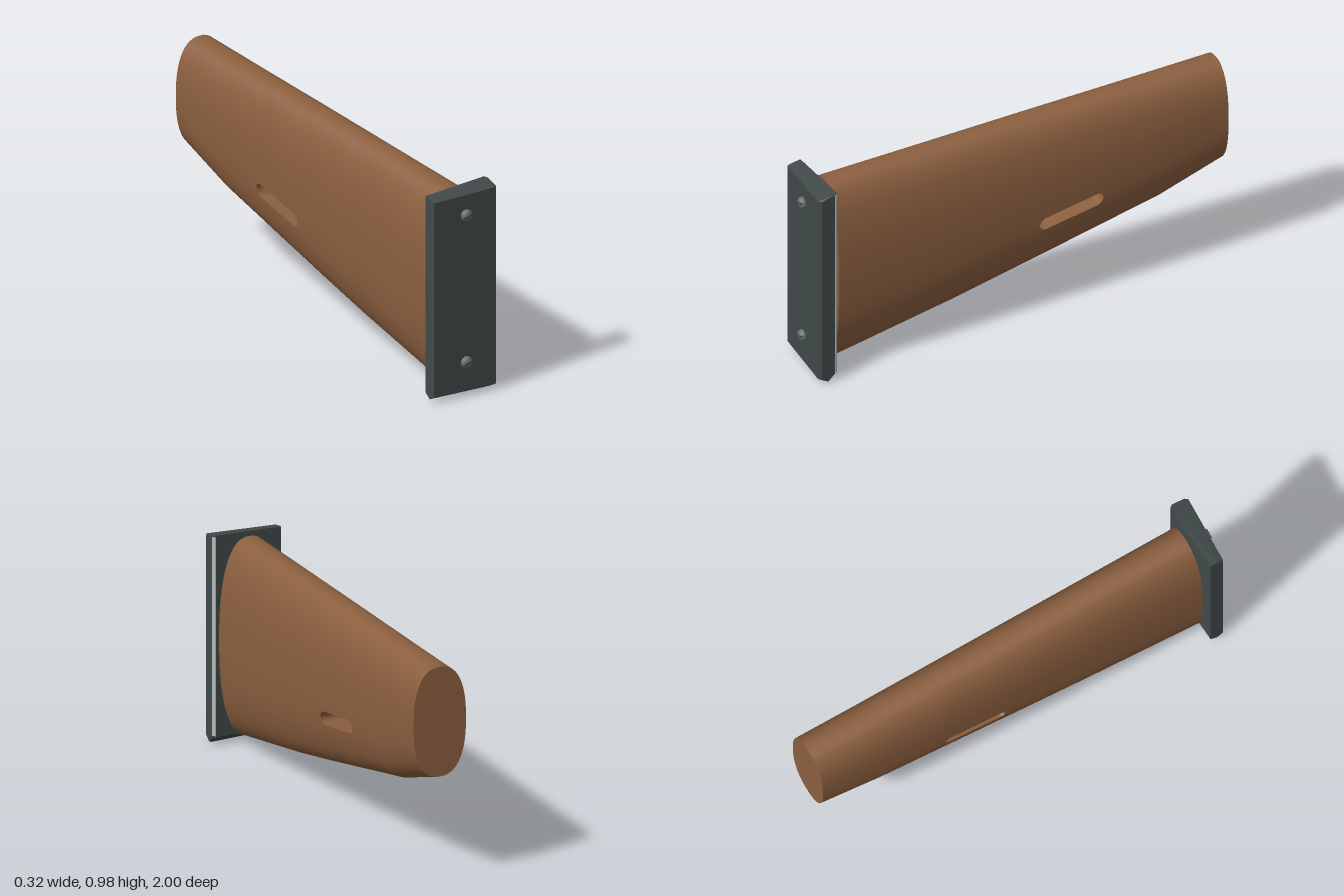
import * as THREE from 'three';
import { mergeGeometries, mergeVertices } from 'three/addons/utils/BufferGeometryUtils.js';
import { ConvexGeometry } from 'three/addons/geometries/ConvexGeometry.js';

const wood = new THREE.MeshStandardMaterial({ color: 0x8b5f3f });
wood.name = 'walnut';
const rubber = new THREE.MeshStandardMaterial({ color: 0x414949 });
rubber.name = 'dark plate';
const steel = new THREE.MeshStandardMaterial({ color: 0x6c7072 });
steel.name = 'screw steel';
const pale = new THREE.MeshStandardMaterial({ color: 0xb8bcbc });
pale.name = 'pale edge';

// Piecewise linear interpolation through [z, value] pairs, z descending
function along(points, z) {
  for (let i = 1; i < points.length; i++) {
    const [z0, a] = points[i - 1], [z1, b] = points[i];
    if (z >= z1 || i === points.length - 1) return a + (b - a) * (z - z0) / (z1 - z0);
  }
}

// Surface through equally long rows of points
function grid(rows) {
  const w = rows[0].length, index = [];
  for (let s = 0; s < rows.length - 1; s++) {
    for (let i = 0; i < w - 1; i++) {
      const k = s * w + i;
      index.push(k, k + w, k + 1, k + 1, k + w, k + w + 1);
    }
  }
  const g = new THREE.BufferGeometry();
  g.setAttribute('position', new THREE.Float32BufferAttribute(rows.flat(2), 3));
  g.setIndex(index);
  return g;
}

function part(name, geometry, material) {
  const m = new THREE.Mesh(geometry, material);
  m.name = name;
  return m;
}

// Stock outline and slot
const TOP = [[0.88, 0.935], [0, 0.957], [-1, 0.98]];
const BOTTOM = [[0.88, 0.03], [0.3, 0.145], [0, 0.212], [-0.7, 0.375], [-1, 0.48]];
const WIDTH = [[0.88, 0.143], [0, 0.135], [-1, 0.124]];
const SLOT = { z: -0.245, half: 0.153, r: 0.031 };
const POWER = 2.4, STEPS = 32;

const slotLine = z => 0.489 - 0.179 * (z - SLOT.z);
function slotHeight(z) {
  const over = Math.abs(z - SLOT.z) - (SLOT.half - SLOT.r);
  return over <= 0 ? SLOT.r : Math.sqrt(Math.max(0, SLOT.r ** 2 - over ** 2));
}

// Rounded cross-section at z, cut at height y: the arc above or below the cut
function arc(z, y, above) {
  const top = along(TOP, z), bottom = along(BOTTOM, z), w = along(WIDTH, z);
  const mid = (top + bottom) / 2, b = (top - bottom) / 2, c = (y - mid) / b;
  const cut = Math.asin(Math.sign(c) * Math.abs(c) ** (POWER / 2));
  const from = above ? cut : Math.PI - cut;
  const to = above ? Math.PI - cut : 2 * Math.PI + cut;
  const bend = v => Math.sign(v) * Math.abs(v) ** (2 / POWER);
  return Array.from({ length: STEPS + 1 }, (_, i) => {
    const a = from + (to - from) * i / STEPS;
    return [w * bend(Math.cos(a)), mid + b * bend(Math.sin(a)), z];
  });
}

function buildStock() {
  const group = new THREE.Group();
  group.name = 'stock';
  // Stations, packed closely around the rounded slot ends
  const slotZ = [];
  for (let i = 0; i <= 8; i++) slotZ.push(SLOT.half - SLOT.r + SLOT.r * Math.cos(i / 8 * Math.PI / 2));
  const inner = [...slotZ.map(u => SLOT.z + u), ...slotZ.map(u => SLOT.z - u).reverse()];
  const stations = [0.88, 0.6, 0.35, 0.3, 0.25, 0.1, 0, ...inner, -0.5, -0.65, -0.7, -0.75, -0.9, -1];

  const upper = stations.map(z => arc(z, slotLine(z) + slotHeight(z), true));
  const lower = stations.map(z => arc(z, slotLine(z) - slotHeight(z), false));
  const shell = mergeVertices(mergeGeometries([grid(upper), grid(lower)]), 1e-5);
  shell.computeVertexNormals();
  group.add(part('stockBody', shell, wood));

  // Inside of the slot
  const inSlot = stations.map((z, i) => i).filter(i => inner.includes(stations[i]));
  const roof = grid(inSlot.map(i => [upper[i][STEPS], upper[i][0]]));
  const floor = grid(inSlot.map(i => [lower[i][STEPS], lower[i][0]]));
  roof.computeVertexNormals();
  floor.computeVertexNormals();
  group.add(part('slotRoof', roof, wood), part('slotFloor', floor, wood));

  // Flat ends
  for (const [name, s] of [['stockButtEnd', 0], ['stockFarEnd', stations.length - 1]]) {
    const ring = [...upper[s], ...lower[s]], z = stations[s];
    const centre = ring.map(() => [0, (along(TOP, z) + along(BOTTOM, z)) / 2, z]);
    const cap = grid(s === 0 ? [centre, ring] : [ring, centre]);
    cap.computeVertexNormals();
    group.add(part(name, cap, wood));
  }
  return group;
}

function buildPlate() {
  const group = new THREE.Group();
  group.name = 'buttPlate';
  // [x, front z, back z, edge inset] slices of a slightly tapered plate
  const points = [];
  for (const [x, front, back, inset] of [[-0.162, 0.97, 0.907, 0.012], [0.15, 0.985, 0.896, 0], [0.161, 0.972, 0.91, 0.004]]) {
    const mid = (front + back) / 2;
    for (const [y, z] of [
      [0.935 - inset / 2, front], [0.944 - inset / 2, mid], [0.954 - inset, back],
      [0.035, back], [inset, mid], [0.025 + inset / 2, front],
    ]) points.push(new THREE.Vector3(x, y, z));
  }
  group.add(part('plateBody', new ConvexGeometry(points), rubber));

  // Pale bevel on the rear edge
  const bevel = part('plateBevel', new THREE.BoxGeometry(0.017, 0.905, 0.003), pale);
  bevel.position.set(0.156, 0.493, 0.903);
  bevel.rotation.y = Math.PI * 0.72;
  group.add(bevel);
  return group;
}

// Domed, slotted screw facing +z
function buildScrew(y) {
  const screw = new THREE.Group();
  screw.name = 'screw';
  const profile = [[0.026, -0.01], [0.026, 0.008], [0.022, 0.016], [0.012, 0.021], [0, 0.022]];
  const head = part('screwHead', new THREE.LatheGeometry(profile.map(p => new THREE.Vector2(...p)), 20), steel);
  head.rotation.x = Math.PI / 2;
  const slot = part('screwSlot', new THREE.BoxGeometry(0.046, 0.007, 0.008), rubber);
  slot.position.z = 0.0185;
  slot.rotation.z = 0.35;
  screw.add(head, slot);
  screw.position.set(0, y, 0.9775);
  return screw;
}

export function createModel() {
  const model = new THREE.Group();
  model.name = 'woodenShoulderStock';
  model.add(buildStock(), buildPlate(), buildScrew(0.84), buildScrew(0.16));
  return model;
}
